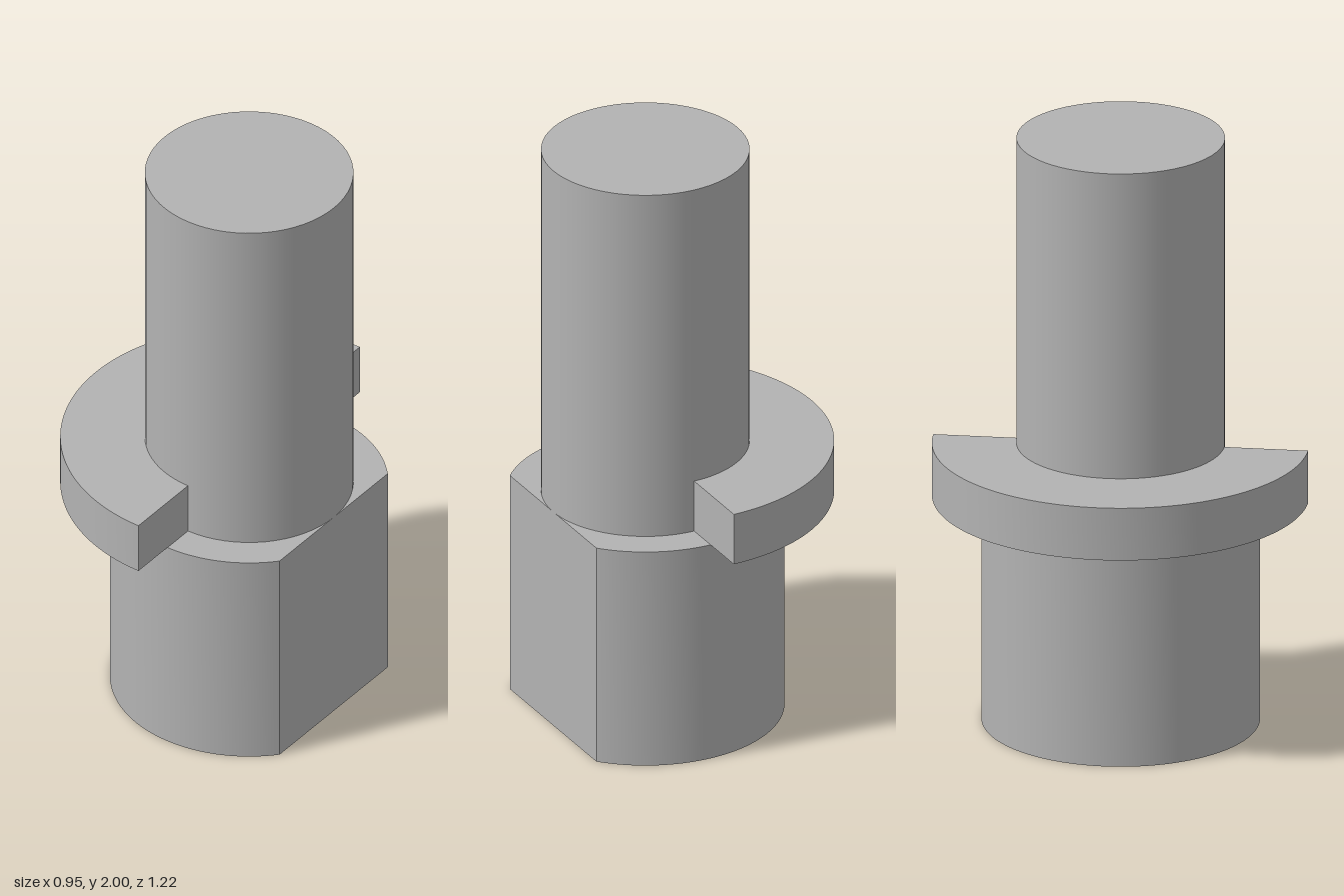
import * as THREE from 'three';
import { toCreasedNormals } from 'three/addons/utils/BufferGeometryUtils.js';

const AXIS_X = 0.135;
const SHAFT_R = 0.337;
const BASE_R = 0.45;
const FLANGE_R = 0.61;
const BASE_TOP = 0.77;
const FLANGE_TOP = 0.95;

export function createModel() {
  const model = new THREE.Group();
  const steel = new THREE.MeshStandardMaterial({ color: 0xb3b3b3 });
  steel.name = 'steel grey';

  // Adds a plan outline raised from one height to another
  function addPrism(name, shape, bottom, top) {
    const extruded = new THREE.ExtrudeGeometry(shape, {
      depth: top - bottom, bevelEnabled: false, curveSegments: 48,
    });
    extruded.rotateX(-Math.PI / 2);
    const mesh = new THREE.Mesh(toCreasedNormals(extruded, 0.5), steel);
    mesh.name = name;
    mesh.position.set(AXIS_X, bottom, 0);
    model.add(mesh);
  }

  // Round base with one flat side, level with the shaft's edge
  const flatAngle = Math.acos(SHAFT_R / BASE_R);
  const base = new THREE.Shape();
  base.absarc(0, 0, BASE_R, flatAngle, 2 * Math.PI - flatAngle, false);
  base.closePath();
  addPrism('base', base, 0, BASE_TOP);

  // Half-ring flange on the side away from the flat
  const flange = new THREE.Shape();
  flange.absarc(0, 0, FLANGE_R, Math.PI / 2, 1.5 * Math.PI, false);
  flange.absarc(0, 0, SHAFT_R, 1.5 * Math.PI, Math.PI / 2, true);
  flange.closePath();
  addPrism('flange', flange, BASE_TOP, FLANGE_TOP);

  // Tall round shaft
  const shaft = new THREE.Mesh(
    new THREE.CylinderGeometry(SHAFT_R, SHAFT_R, 2 - BASE_TOP, 64), steel);
  shaft.name = 'shaft';
  shaft.position.set(AXIS_X, (2 + BASE_TOP) / 2, 0);
  model.add(shaft);

  return model;
}
